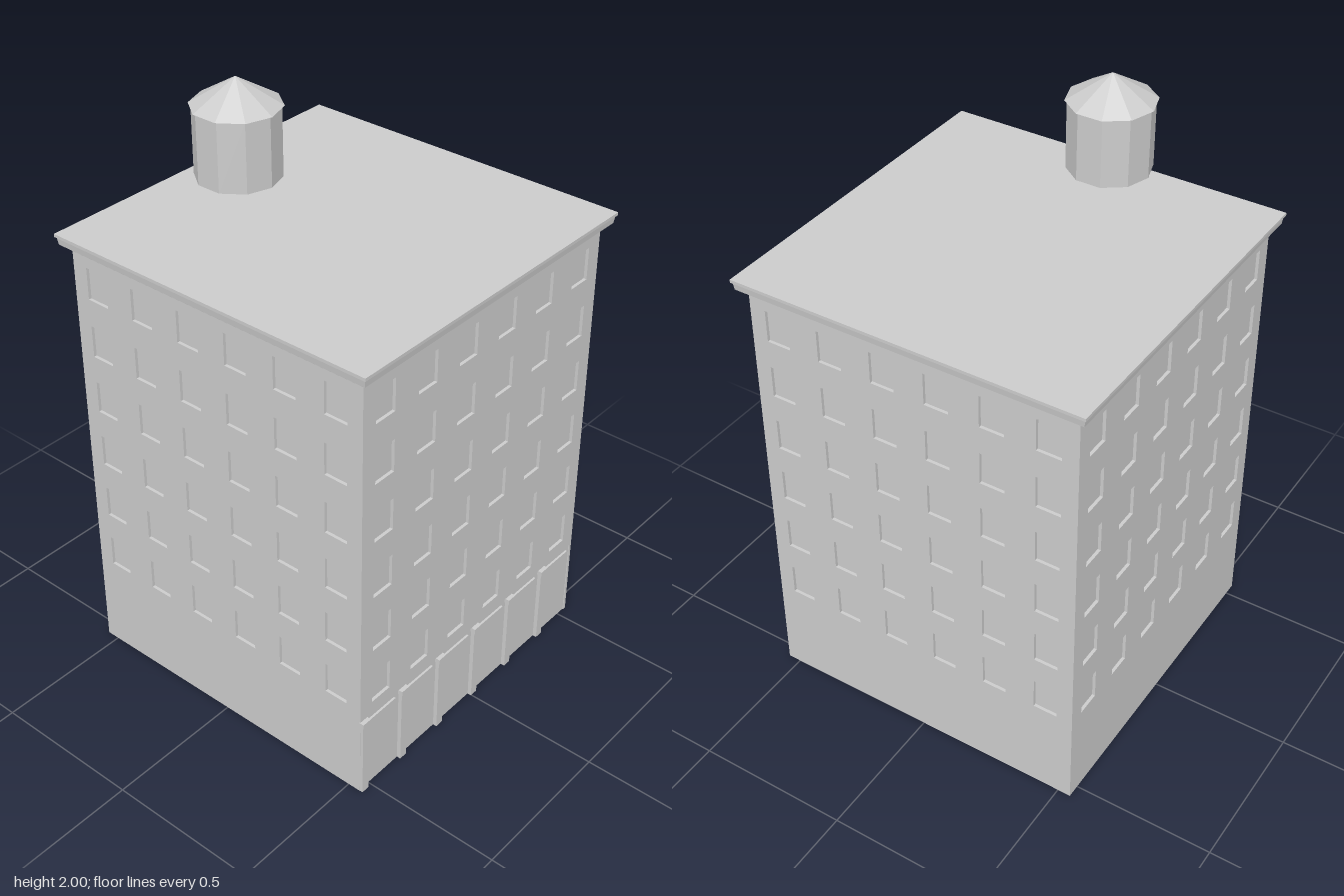
import * as THREE from 'three';

const stone = new THREE.MeshStandardMaterial({ color: 0xcccccc, flatShading: true, side: THREE.DoubleSide });
stone.name = 'pale grey stone';

const HALF = 0.543;      // half width of the block
const WALL_TOP = 1.47;
const DEPTH = 0.01;      // window recess
const BAY = 0.18;        // spacing of bays

function add(parent, name, geometry, x = 0, y = 0, z = 0) {
  const mesh = new THREE.Mesh(geometry, stone);
  mesh.name = name;
  mesh.position.set(x, y, z);
  parent.add(mesh);
  return mesh;
}

function rect(path, x0, y0, x1, y1) {
  path.moveTo(x0, y0);
  path.lineTo(x1, y0);
  path.lineTo(x1, y1);
  path.lineTo(x0, y1);
  path.closePath();
  return path;
}

// One facade: a wall pierced by six floors of six windows, with recessed panes
function makeWall(name, bottom) {
  const wall = new THREE.Group();
  wall.name = name;
  const shape = rect(new THREE.Shape(), -HALF, bottom, HALF, WALL_TOP);
  for (let floor = 0; floor < 6; floor++) {
    for (let bay = 0; bay < 6; bay++) {
      const x = (bay - 2.5) * BAY;
      const y = 0.378 + floor * 0.197;
      shape.holes.push(rect(new THREE.Path(), x - 0.04, y - 0.053, x + 0.04, y + 0.053));
      add(wall, 'windowPane', new THREE.PlaneGeometry(0.08, 0.106), x, y, HALF - DEPTH);
    }
  }
  const geometry = new THREE.ExtrudeGeometry(shape, { depth: DEPTH, bevelEnabled: false });
  add(wall, 'masonry', geometry, 0, 0, HALF - DEPTH);
  return wall;
}

export function createModel() {
  const model = new THREE.Group();
  model.name = 'apartmentBlock';

  // Four facades; the front one starts above the shops
  ['frontWall', 'leftWall', 'backWall', 'rightWall'].forEach((name, i) => {
    const wall = makeWall(name, i === 0 ? 0.28 : 0);
    wall.rotation.y = i * Math.PI / 2;
    model.add(wall);
  });

  // Shop fronts: set-back panel, pilasters with caps, and sign boards
  const shops = new THREE.Group();
  shops.name = 'shopFronts';
  model.add(shops);
  add(shops, 'shopPanel', new THREE.BoxGeometry(HALF * 2, 0.28, 0.006), 0, 0.14, HALF - 0.006);
  for (let i = 0; i < 6; i++) {
    const x = -0.528 + i * BAY;
    add(shops, 'pilaster', new THREE.BoxGeometry(0.028, 0.265, 0.013), x, 0.1325, HALF + 0.0035);
    add(shops, 'pilasterCap', new THREE.BoxGeometry(0.034, 0.016, 0.017), x, 0.272, HALF + 0.0055);
    add(shops, 'signBoard', new THREE.BoxGeometry(0.13, 0.045, 0.008), x + 0.079, 0.2425, HALF);
  }

  // Stepped cornice and flat roof as a four-sided lathe
  const profile = [
    [HALF, 1.455], [0.552, 1.46], [0.555, 1.472], [0.569, 1.475],
    [0.572, 1.498], [0.577, 1.5], [0.577, 1.51], [0, 1.51],
  ].map(([r, y]) => new THREE.Vector2(r * Math.SQRT2, y));
  add(model, 'corniceAndRoof', new THREE.LatheGeometry(profile, 4, Math.PI / 4));

  // Ten-sided water tank raised over the roof
  const tank = new THREE.Group();
  tank.name = 'waterTank';
  tank.position.set(-0.24, 0, -0.163);
  model.add(tank);
  add(tank, 'tankBody', new THREE.CylinderGeometry(0.126, 0.126, 0.215, 10), 0, 1.8125, 0);
  add(tank, 'tankRoof', new THREE.ConeGeometry(0.133, 0.082, 10), 0, 1.959, 0);

  return model;
}
